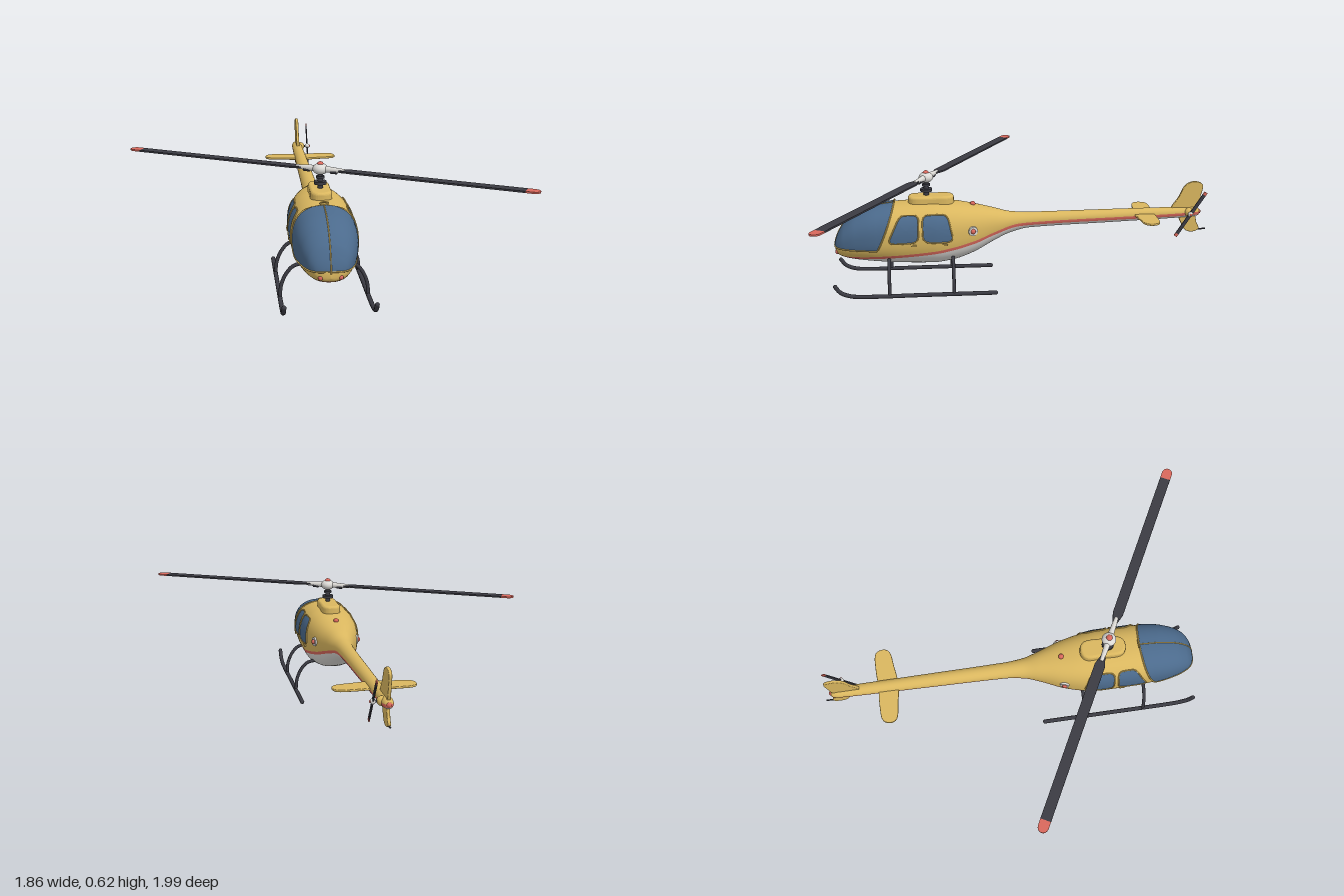
import * as THREE from 'three';

const mat = (name, color) => {
  const m = new THREE.MeshStandardMaterial({ color });
  m.name = name;
  return m;
};

// Fuselage stations: z, top, bottom, half width
const STATIONS = [
  [-0.968, 0.36, 0.356, 0], [-0.95, 0.38, 0.338, 0.022], [-0.92, 0.386, 0.333, 0.028],
  [-0.5, 0.384, 0.315, 0.035], [-0.05, 0.38, 0.298, 0.042], [0.05, 0.386, 0.275, 0.052],
  [0.14, 0.408, 0.235, 0.078], [0.25, 0.432, 0.178, 0.117], [0.36, 0.45, 0.142, 0.143],
  [0.46, 0.457, 0.13, 0.155], [0.62, 0.453, 0.135, 0.155], [0.76, 0.435, 0.146, 0.146],
  [0.86, 0.395, 0.158, 0.125], [0.92, 0.345, 0.17, 0.1], [0.95, 0.295, 0.182, 0.075],
  [0.965, 0.255, 0.193, 0.045], [0.972, 0.218, 0.206, 0],
];
// Height of the painted stripe: z, y
const STRIPE = [[-0.97, 0.356], [-0.8, 0.349], [0, 0.325], [0.14, 0.29], [0.25, 0.255],
  [0.46, 0.215], [0.68, 0.194], [0.9, 0.18], [0.98, 0.178]];

// Smooth monotone interpolation of column k
function lookup(table, z, k) {
  const n = table.length;
  let i = 0;
  while (i < n - 2 && z > table[i + 1][0]) i++;
  const sec = (j) => (table[j + 1][k] - table[j][k]) / (table[j + 1][0] - table[j][0]);
  const slope = (j) => {
    if (j === 0) return sec(0);
    if (j === n - 1) return sec(n - 2);
    const a = sec(j - 1), b = sec(j);
    return a * b > 0 ? (2 * a * b) / (a + b) : 0;
  };
  const h = table[i + 1][0] - table[i][0];
  const t = THREE.MathUtils.clamp((z - table[i][0]) / h, 0, 1), t2 = t * t, t3 = t2 * t;
  return (2 * t3 - 3 * t2 + 1) * table[i][k] + (t3 - 2 * t2 + t) * h * slope(i)
    + (3 * t2 - 2 * t3) * table[i + 1][k] + (t3 - t2) * h * slope(i + 1);
}

const power = (z) => 2 + 0.4 * THREE.MathUtils.smoothstep(z, 0, 0.3);
const bend = (v, e) => Math.sign(v) * Math.abs(v) ** e;

// Point on the fuselage skin, pushed outward by off
function skin(z, a, off = 0) {
  const top = lookup(STATIONS, z, 1), bot = lookup(STATIONS, z, 2), e = 2 / power(z);
  const c = Math.cos(a), s = Math.sin(a);
  return new THREE.Vector3(
    lookup(STATIONS, z, 3) * bend(c, e) + off * c,
    (top + bot) / 2 + ((top - bot) / 2) * bend(s, e) + off * s,
    z + off * THREE.MathUtils.clamp((z - 0.9) / 0.07, 0, 1));
}
// Section angle at height y on the +x side
function angleAt(z, y) {
  const top = lookup(STATIONS, z, 1), bot = lookup(STATIONS, z, 2);
  const t = THREE.MathUtils.clamp((2 * y - top - bot) / (top - bot), -1, 1);
  return Math.asin(bend(t, power(z) / 2));
}

// Surface from f(u, v), facing du x dv
function grid(f, nu, vs) {
  const pos = [], idx = [], w = nu + 1;
  vs.forEach((v, j) => {
    for (let i = 0; i <= nu; i++) pos.push(...f(i / nu, v).toArray());
    if (j) for (let i = 0; i < nu; i++) {
      const a = (j - 1) * w + i, c = a + w;
      idx.push(a, a + 1, c, a + 1, c + 1, c);
    }
  });
  const g = new THREE.BufferGeometry();
  g.setAttribute('position', new THREE.Float32BufferAttribute(pos, 3));
  g.setIndex(idx);
  g.computeVertexNormals();
  return g;
}

const V = (x, y, z) => new THREE.Vector3(x, y, z);
const tube = (pts, r, n = 40, closed = false) =>
  new THREE.TubeGeometry(new THREE.CatmullRomCurve3(pts, closed), n, r, 10, closed);
const plate = (shape, depth, bevel) => new THREE.ExtrudeGeometry(shape, {
  depth, bevelEnabled: bevel > 0, bevelSize: bevel, bevelThickness: bevel, bevelSegments: 4, curveSegments: 16,
}).translate(0, 0, -depth / 2);
const outline = (pts) => {
  const s = new THREE.Shape();
  s.setFromPoints(new THREE.CatmullRomCurve3(pts.map(([a, b]) => V(a, b, 0)), true)
    .getPoints(48).slice(0, -1).map((p) => new THREE.Vector2(p.x, p.y)));
  return s;
};

export function createModel() {
  const model = new THREE.Group();
  model.name = 'helicopter';
  const yellow = mat('yellow paint', 0xdab75f), white = mat('white paint', 0xdcdad6);
  const red = mat('red paint', 0xd9685c), glass = mat('blue glass', 0x4b6a8c);
  const dark = mat('dark metal', 0x3b3b43);
  const add = (name, geo, m, x = 0, y = 0, z = 0, parent = model) => {
    const mesh = new THREE.Mesh(geo, m);
    mesh.name = name;
    mesh.position.set(x, y, z);
    parent.add(mesh);
    return mesh;
  };

  // Fuselage and tail boom in three paint bands
  const zs = [STATIONS[0][0]];
  for (let i = 1; i < STATIONS.length; i++) for (let k = 1; k <= 6; k++)
    zs.push(THREE.MathUtils.lerp(STATIONS[i - 1][0], STATIONS[i][0], k / 6));
  const band = (z, d) => angleAt(z, lookup(STRIPE, z, 1) + d);
  const patch = (lo, hi, n, list, off) =>
    grid((u, z) => skin(z, THREE.MathUtils.lerp(lo(z), hi(z), u), off), n, list);
  const low = (z) => band(z, -0.008), high = (z) => band(z, 0.008);
  add('upperBody', patch(high, (z) => Math.PI - high(z), 48, zs), yellow);
  add('belly', patch((z) => -Math.PI - low(z), low, 40, zs), white);
  add('stripeLeft', patch(low, high, 3, zs), red);
  add('stripeRight', patch((z) => Math.PI - high(z), (z) => Math.PI - low(z), 3, zs), red);

  // Windscreen with frame and centre post
  const sill = (z) => angleAt(z, 0.235 + 0.218 * Math.max(0, (0.75 - z) / 0.09) ** 1.2);
  const gz = [];
  for (let i = 0; i < 12; i++) gz.push(0.66 + 0.09 * i / 12);
  gz.push(0.75, ...zs.filter((z) => z > 0.755 && z < 0.9715));
  add('windscreen', patch(sill, (z) => Math.PI - sill(z), 40, gz, 0.004), glass);
  const rim = gz.filter((z) => z < 0.967).map((z) => skin(z, sill(z), 0.004));
  const mirrored = rim.map((p) => V(-p.x, p.y, p.z)).reverse();
  add('windscreenFrame', tube([...rim, ...mirrored], 0.004, 160, true), yellow);
  add('centrePost', tube(gz.map((z) => skin(z, Math.PI / 2, 0.004)), 0.003, 60), yellow);

  // Door windows, handles, side ports and nose lights
  const windows = [
    [[0.697, 0.273], [0.538, 0.277], [0.532, 0.412], [0.63, 0.412]],
    [[0.513, 0.277], [0.355, 0.273], [0.385, 0.412], [0.515, 0.412]],
  ];
  for (const s of [1, -1]) {
    const side = s > 0 ? 'Left' : 'Right';
    windows.forEach((q, i) => {
      const at = (u, r) => {
        const a = s * u * Math.PI * 2;
        const p = (1 + r * bend(Math.cos(a), 0.4)) / 2, h = (1 + r * bend(Math.sin(a), 0.4)) / 2;
        const mix = (k) => THREE.MathUtils.lerp(
          THREE.MathUtils.lerp(q[0][k], q[1][k], p), THREE.MathUtils.lerp(q[3][k], q[2][k], p), h);
        const pt = skin(mix(0), angleAt(mix(0), mix(1)), 0.004);
        pt.x *= s;
        return pt;
      };
      add('window' + side, grid(at, 48, [1, 0.8, 0.6, 0.4, 0.2, 0]), glass);
      const edge = Array.from({ length: 48 }, (_, k) => at(k / 48, 1));
      add('windowFrame' + side, tube(edge, 0.0035, 96, true), yellow);
      const hz = [0.56, 0.4][i], hp = skin(hz, angleAt(hz, 0.262), 0.003);
      add('doorHandle' + side, new THREE.BoxGeometry(0.008, 0.008, 0.028), yellow, s * hp.x, hp.y, hz);
    });
    const pp = skin(0.255, angleAt(0.255, 0.32));
    const ring = add('portRing' + side, new THREE.CylinderGeometry(0.024, 0.026, 0.014, 24), white, s * pp.x, pp.y, pp.z);
    ring.rotation.set(0, s * 0.3, -s * Math.PI / 2);
    add('portLight' + side, new THREE.SphereGeometry(0.014, 16, 12), red, s * (pp.x + 0.005), pp.y, pp.z);
    add('noseLight' + side, new THREE.SphereGeometry(0.012, 16, 12), red, s * 0.046, 0.206, 0.958);
  }
  add('topBeacon', new THREE.SphereGeometry(0.014, 16, 12), red, 0, 0.434, 0.25);

  // Engine cowl
  const cowl = new THREE.Shape();
  cowl.moveTo(0, -0.105).bezierCurveTo(0.05, -0.105, 0.037, -0.06, 0.037, 0)
    .bezierCurveTo(0.037, 0.06, 0.05, 0.105, 0, 0.105)
    .bezierCurveTo(-0.05, 0.105, -0.037, 0.06, -0.037, 0)
    .bezierCurveTo(-0.037, -0.06, -0.05, -0.105, 0, -0.105);
  add('engineCowl', plate(cowl, 0.04, 0.014).rotateX(-Math.PI / 2), yellow, 0, 0.455, 0.467);

  // Main rotor
  const rotor = new THREE.Group();
  rotor.name = 'mainRotor';
  rotor.position.set(0, 0.583, 0.49);
  rotor.rotation.y = -0.49;
  model.add(rotor);
  add('mast', new THREE.CylinderGeometry(0.012, 0.014, 0.13, 20), dark, 0, -0.055, 0, rotor);
  add('swashPlate', new THREE.CylinderGeometry(0.031, 0.031, 0.014, 24), dark, 0, -0.067, 0, rotor);
  add('upperCollar', new THREE.CylinderGeometry(0.02, 0.02, 0.012, 24), dark, 0, -0.04, 0, rotor);
  add('hub', new THREE.SphereGeometry(0.037, 28, 18).scale(1, 0.75, 1), white, 0, 0, 0, rotor);
  add('hubCap', new THREE.SphereGeometry(0.017, 18, 12), red, 0, 0.02, 0, rotor);
  const blade = new THREE.Shape();
  blade.moveTo(0.09, -0.01).lineTo(0.15, -0.027).lineTo(0.985, -0.027)
    .lineTo(0.985, 0.027).lineTo(0.15, 0.027).lineTo(0.09, 0.01);
  const tip = new THREE.Shape();
  tip.moveTo(0.985, -0.027).lineTo(1.02, -0.027).quadraticCurveTo(1.048, -0.022, 1.048, 0)
    .quadraticCurveTo(1.048, 0.022, 1.02, 0.027).lineTo(0.985, 0.027);
  for (const turn of [0, Math.PI]) {
    const arm = new THREE.Group();
    arm.name = 'bladeArm';
    arm.rotation.y = turn;
    rotor.add(arm);
    add('blade', plate(blade, 0.008, 0).rotateX(-Math.PI / 2), dark, 0, 0, 0, arm);
    add('bladeTip', plate(tip, 0.008, 0).rotateX(-Math.PI / 2), red, 0, 0, 0, arm);
    add('bladeGrip', new THREE.CylinderGeometry(0.01, 0.016, 0.1, 16).rotateZ(-Math.PI / 2), white, 0.075, 0, 0, arm);
    add('gripCuff', new THREE.CylinderGeometry(0.013, 0.013, 0.03, 16).rotateZ(Math.PI / 2), dark, 0.07, -0.006, 0, arm);
  }

  // Landing skids and cross tubes
  for (const s of [1, -1]) {
    add('skid', tube([V(s * 0.21, 0.013, 0.145), V(s * 0.21, 0.013, 0.5), V(s * 0.21, 0.013, 0.82),
      V(s * 0.21, 0.019, 0.89), V(s * 0.21, 0.04, 0.94), V(s * 0.21, 0.072, 0.965)], 0.011, 60), dark);
    for (const z of [0.145, 0.965])
      add('skidCap', new THREE.SphereGeometry(0.011, 12, 10), dark, s * 0.21, z < 0.5 ? 0.013 : 0.072, z);
    for (const z of [0.36, 0.69])
      add('skidStrut', tube([V(s * 0.21, 0.013, z), V(s * 0.204, 0.075, z), V(s * 0.178, 0.135, z),
        V(s * 0.14, 0.172, z), V(s * 0.06, 0.182, z)], 0.009, 30), dark);
  }

  // Tail surfaces
  const stab = outline([[0, -0.61], [0.1, -0.622], [0.185, -0.638], [0.2, -0.665], [0.185, -0.703], [0.1, -0.712],
    [0, -0.708], [-0.1, -0.712], [-0.185, -0.703], [-0.2, -0.665], [-0.185, -0.638], [-0.1, -0.622]]);
  add('stabiliser', plate(stab, 0.004, 0.004).rotateX(Math.PI / 2), yellow, 0, 0.355, 0);
  const upperFin = outline([[0.81, 0.37], [0.85, 0.44], [0.885, 0.505], [0.93, 0.522], [0.969, 0.507], [0.962, 0.45], [0.935, 0.37]]);
  const lowerFin = outline([[0.855, 0.345], [0.87, 0.295], [0.893, 0.26], [0.93, 0.252], [0.958, 0.265], [0.945, 0.3], [0.93, 0.345]]);
  add('upperFin', plate(upperFin, 0.008, 0.004).rotateY(Math.PI / 2), yellow);
  add('lowerFin', plate(lowerFin, 0.008, 0.004).rotateY(Math.PI / 2), yellow);
  add('tailGuard', tube([V(0, 0.325, -0.865), V(0, 0.28, -0.895), V(0, 0.26, -0.945), V(0, 0.263, -0.998)], 0.004, 30), dark);
  add('tailLight', new THREE.SphereGeometry(0.013, 16, 12), red, 0, 0.36, -0.957);

  // Tail rotor
  const tail = new THREE.Group();
  tail.name = 'tailRotor';
  tail.position.set(0.062, 0.362, -0.9);
  tail.rotation.x = -0.578;
  model.add(tail);
  add('gearbox', new THREE.SphereGeometry(0.023, 18, 14), yellow, 0.022, 0.362, -0.9);
  add('tailShaft', new THREE.CylinderGeometry(0.006, 0.006, 0.06, 12).rotateZ(Math.PI / 2), dark, -0.03, 0, 0, tail);
  add('tailHub', new THREE.SphereGeometry(0.014, 16, 12), white, 0, 0, 0, tail);
  add('tailHubCap', new THREE.SphereGeometry(0.007, 12, 10), red, 0.011, 0, 0, tail);
  for (const s of [1, -1]) {
    add('tailBlade', new THREE.BoxGeometry(0.006, 0.115, 0.018), dark, 0, s * 0.067, 0, tail);
    add('tailBladeTip', new THREE.BoxGeometry(0.006, 0.017, 0.018), red, 0, s * 0.133, 0, tail);
  }
  return model;
}
